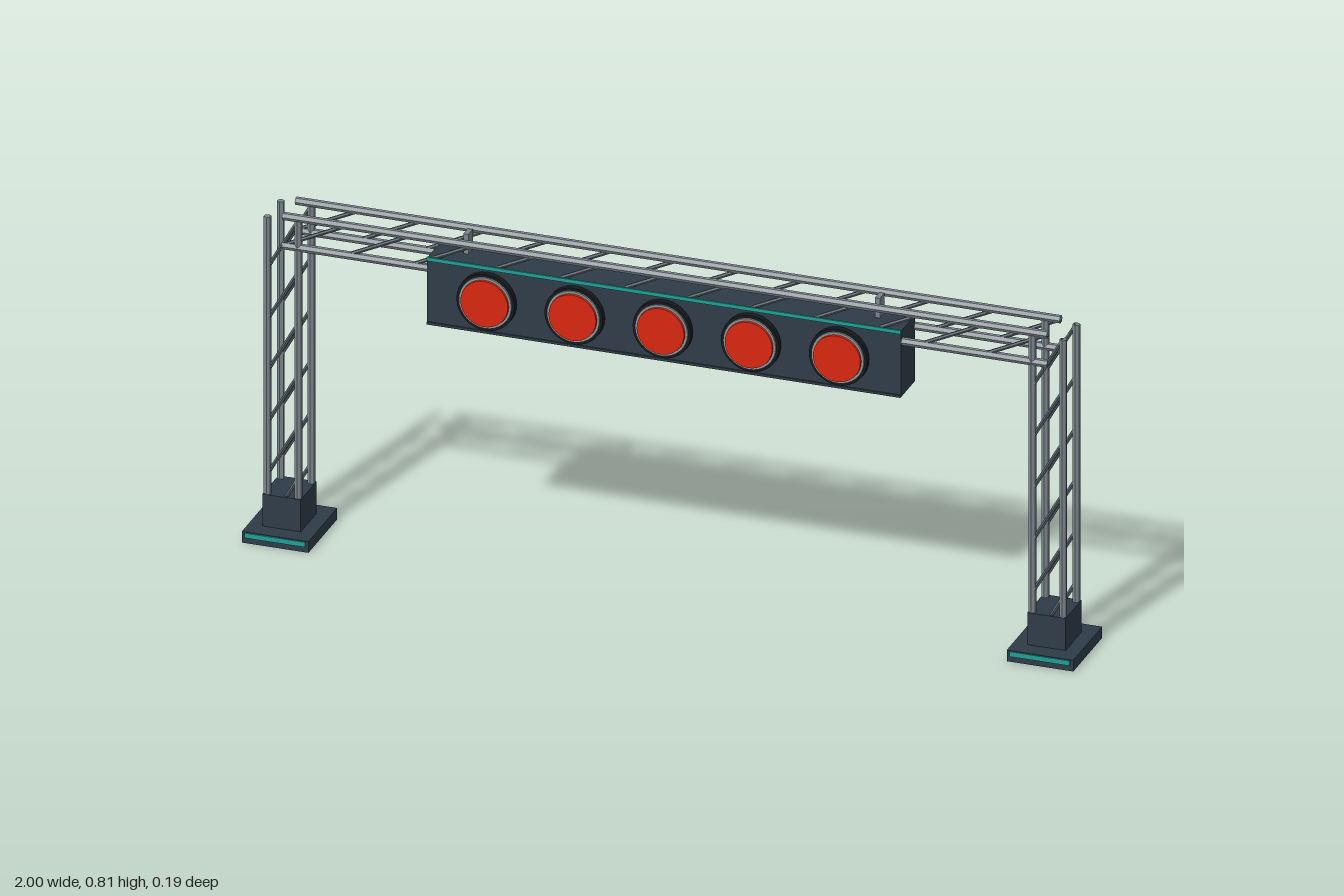
import * as THREE from 'three';

const mat = (name, color, flatShading = false) => {
  const m = new THREE.MeshStandardMaterial({ color, flatShading });
  m.name = name;
  return m;
};

export function createModel() {
  const navy = mat('navy housing', 0x2e3c48);
  const steel = mat('steel', 0x7a868c, true);
  const brace = mat('dark steel', 0x566269, true);
  const black = mat('black bezel', 0x15191d);
  const silver = mat('silver ring', 0x8d979b);
  const red = mat('red lens', 0xd8260f);
  const teal = mat('teal trim', 0x1fa097);

  const model = new THREE.Group();
  model.name = 'lightGantry';
  const group = (name) => {
    const g = new THREE.Group();
    g.name = name;
    model.add(g);
    return g;
  };
  const add = (parent, name, geometry, material, x = 0, y = 0, z = 0) => {
    const m = new THREE.Mesh(geometry, material);
    m.name = name;
    m.position.set(x, y, z);
    parent.add(m);
    return m;
  };
  const box = (parent, name, material, w, h, d, x, y, z) =>
    add(parent, name, new THREE.BoxGeometry(w, h, d), material, x, y, z);

  // Hexagonal bar between two points
  const up = new THREE.Vector3(0, 1, 0);
  const bar = (parent, name, material, r, a, b) => {
    const p = new THREE.Vector3(...a), q = new THREE.Vector3(...b);
    const dir = q.clone().sub(p);
    const m = add(parent, name, new THREE.CylinderGeometry(r, r, dir.length(), 6), material);
    m.position.copy(p).add(q).multiplyScalar(0.5);
    m.quaternion.setFromUnitVectors(up, dir.normalize());
  };
  const zs = [0.043, -0.043];

  // Two lattice towers on footings
  for (const side of [-1, 1]) {
    const t = group(side > 0 ? 'leftTower' : 'rightTower');
    const cx = side * 0.92, half = 0.037;
    box(t, 'footing', navy, 0.16, 0.028, 0.19, cx, 0.014, 0);
    box(t, 'footingStripe', teal, 0.145, 0.012, 0.004, cx, 0.02, 0.096);
    box(t, 'pedestal', navy, 0.092, 0.082, 0.105, cx, 0.067, 0);
    const y0 = 0.028, step = 0.772 / 6;
    for (const z of zs) {
      for (const s of [-1, 1])
        bar(t, 'post', steel, 0.009, [cx + s * half, y0, z], [cx + s * half, 0.8, z]);
      for (let i = 0; i < 6; i++)
        bar(t, 'towerBrace', brace, 0.005,
          [cx - half, y0 + i * step, z], [cx + half, y0 + (i + 1) * step, z]);
    }
  }

  // Overhead truss
  const truss = group('truss');
  const low = 0.733, high = 0.806, end = 0.92, bays = 12;
  for (const z of zs) {
    for (const y of [low, high])
      bar(truss, 'chord', steel, 0.0095, [-end, y, z], [end, y, z]);
    for (let i = 0; i < bays; i++) {
      const x = -end + (i * 2 * end) / bays;
      bar(truss, 'trussBrace', brace, 0.005, [x, low, z], [x + (2 * end) / bays, high, z]);
    }
  }

  // Lamp housing with trims and hangers
  const panel = group('lampPanel');
  box(panel, 'housing', navy, 1.14, 0.165, 0.093, 0, 0.6795, 0.0065);
  box(panel, 'topTrim', teal, 1.14, 0.009, 0.005, 0, 0.7605, 0.0545);
  box(panel, 'bottomTrim', navy, 1.14, 0.006, 0.004, 0, 0.6, 0.0545);
  for (const x of [-0.495, 0.495])
    box(panel, 'hanger', steel, 0.012, 0.05, 0.03, x, 0.786, -0.012);

  // Five round lamps
  const disc = (parent, name, material, rBack, rFront, z0, z1, x) => {
    const m = add(parent, name, new THREE.CylinderGeometry(rFront, rBack, z1 - z0, 32),
      material, x, 0.68, (z0 + z1) / 2);
    m.rotation.x = Math.PI / 2;
  };
  for (let i = -2; i <= 2; i++) {
    const lamp = group('lamp');
    const x = i * 0.212;
    disc(lamp, 'bezel', black, 0.07, 0.07, 0.05, 0.068, x);
    disc(lamp, 'lampRing', silver, 0.064, 0.063, 0.066, 0.0715, x);
    disc(lamp, 'lens', red, 0.058, 0.057, 0.069, 0.077, x);
  }
  return model;
}
